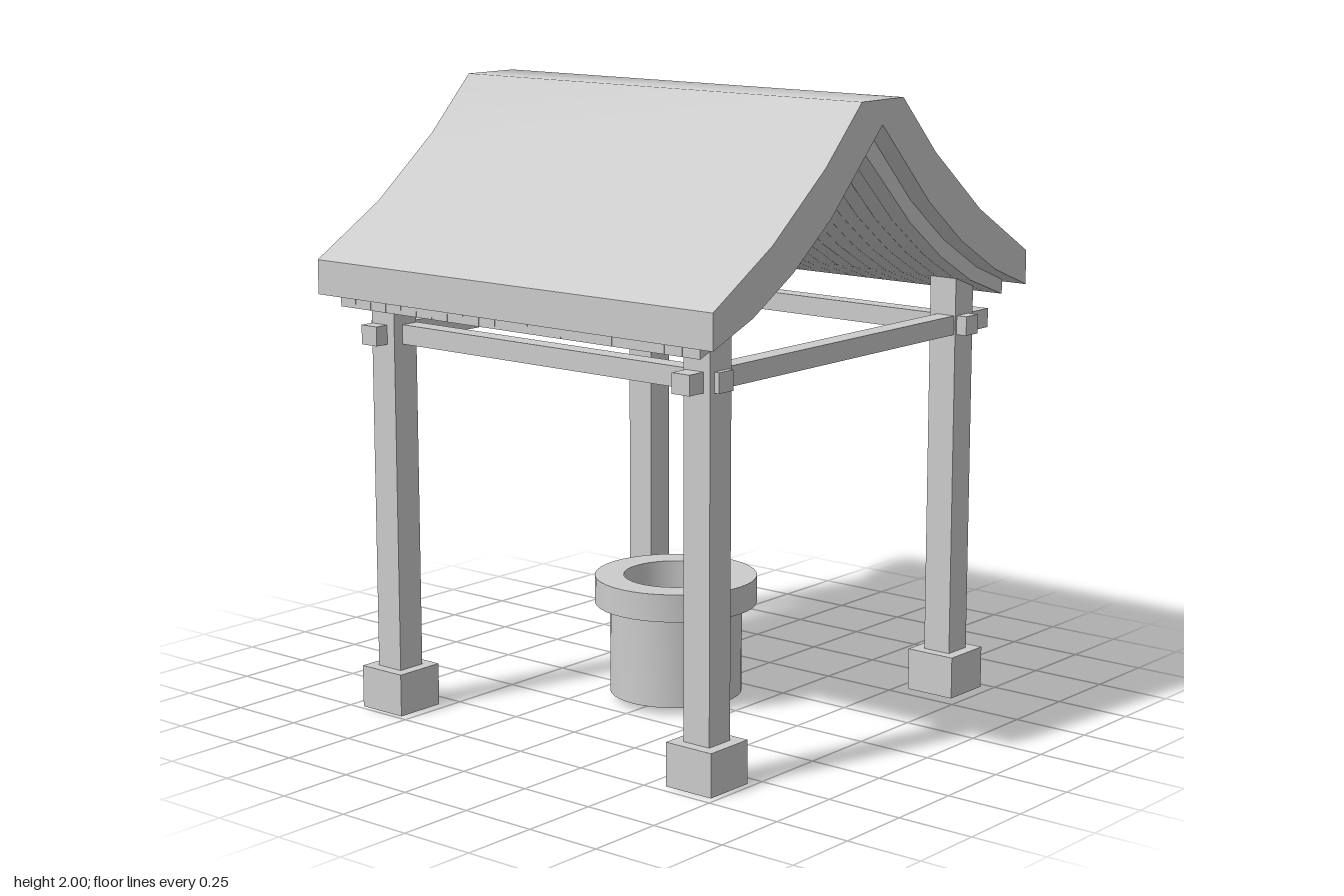
import * as THREE from 'three';
import { toCreasedNormals } from 'three/addons/utils/BufferGeometryUtils.js';

const material = new THREE.MeshStandardMaterial({ color: 0xcccccc });

function addMesh(parent, name, geometry, x = 0, y = 0, z = 0) {
  const mesh = new THREE.Mesh(geometry, material);
  mesh.name = name;
  mesh.position.set(x, y, z);
  parent.add(mesh);
}

// Gabled section from [z, y] half-curves (ridge to eave), mirrored and extruded along x
function gable(upper, lower, width) {
  const half = [...lower, ...[...upper].reverse()];
  const otherHalf = half.filter(([z]) => z > 0).reverse().map(([z, y]) => [-z, y]);
  const shape = new THREE.Shape([...half, ...otherHalf].map(([z, y]) => new THREE.Vector2(z, y)));
  const geo = new THREE.ExtrudeGeometry(shape, { depth: width, bevelEnabled: false });
  geo.translate(0, 0, -width / 2).rotateY(-Math.PI / 2);
  return toCreasedNormals(geo, 0.9);
}

export function createModel() {
  const model = new THREE.Group();
  model.name = 'wellShelter';

  // Sweeping roof with a flat ridge
  const roofTop = [[0.105, 2], [0.28, 1.82], [0.53, 1.62], [0.8, 1.46]];
  const roofUnder = [[0, 1.925], [0.25, 1.67], [0.43, 1.53], [0.62, 1.42], [0.8, 1.35]];
  addMesh(model, 'roof', gable(roofTop, roofUnder, 1.6));

  // Curved boards side by side under the roof
  const boardTop = [[0, 1.925], [0.25, 1.67], [0.43, 1.53], [0.62, 1.42], [0.77, 1.362]];
  const boardUnder = [[0, 1.84], [0.25, 1.6], [0.42, 1.475], [0.59, 1.38], [0.77, 1.315]];
  const boards = new THREE.Group();
  boards.name = 'roofBoards';
  model.add(boards);
  const count = 22, pitch = 1.46 / count;
  const boardGeo = gable(boardTop, boardUnder, pitch - 0.001);
  for (let i = 0; i < count; i++) {
    addMesh(boards, 'roofBoard', boardGeo, (i + 0.5 - count / 2) * pitch);
  }

  // Posts on square footings, set very slightly askew
  const corners = [[0.643, 0.63], [-0.62, 0.647], [0.624, -0.639], [-0.64, -0.622]];
  const postGeo = new THREE.BoxGeometry(0.098, 1.27, 0.098);
  const footingGeo = new THREE.BoxGeometry(0.172, 0.137, 0.172);
  for (const [x, z] of corners) {
    addMesh(model, 'post', postGeo, x, 0.765, z);
    addMesh(model, 'footing', footingGeo, x, 0.0685, z);
  }

  // Tie beams crossing at the posts
  const crossBeamGeo = new THREE.BoxGeometry(1.42, 0.062, 0.065);
  const sideBeamGeo = new THREE.BoxGeometry(0.066, 0.062, 1.528);
  for (const s of [1, -1]) {
    addMesh(model, 'crossBeam', crossBeamGeo, 0, 1.228, s * 0.629 - 0.002);
    addMesh(model, 'sideBeam', sideBeamGeo, s * 0.635, 1.228, -0.021);
  }

  // Open well tube with a thicker rim
  const profile = [[0.17, 0.025], [0.215, 0.025], [0.215, 0.323], [0.264, 0.323],
    [0.264, 0.413], [0.17, 0.413], [0.17, 0.025]].map(([r, y]) => new THREE.Vector2(r, y));
  addMesh(model, 'well', toCreasedNormals(new THREE.LatheGeometry(profile, 40), 0.6));

  return model;
}
